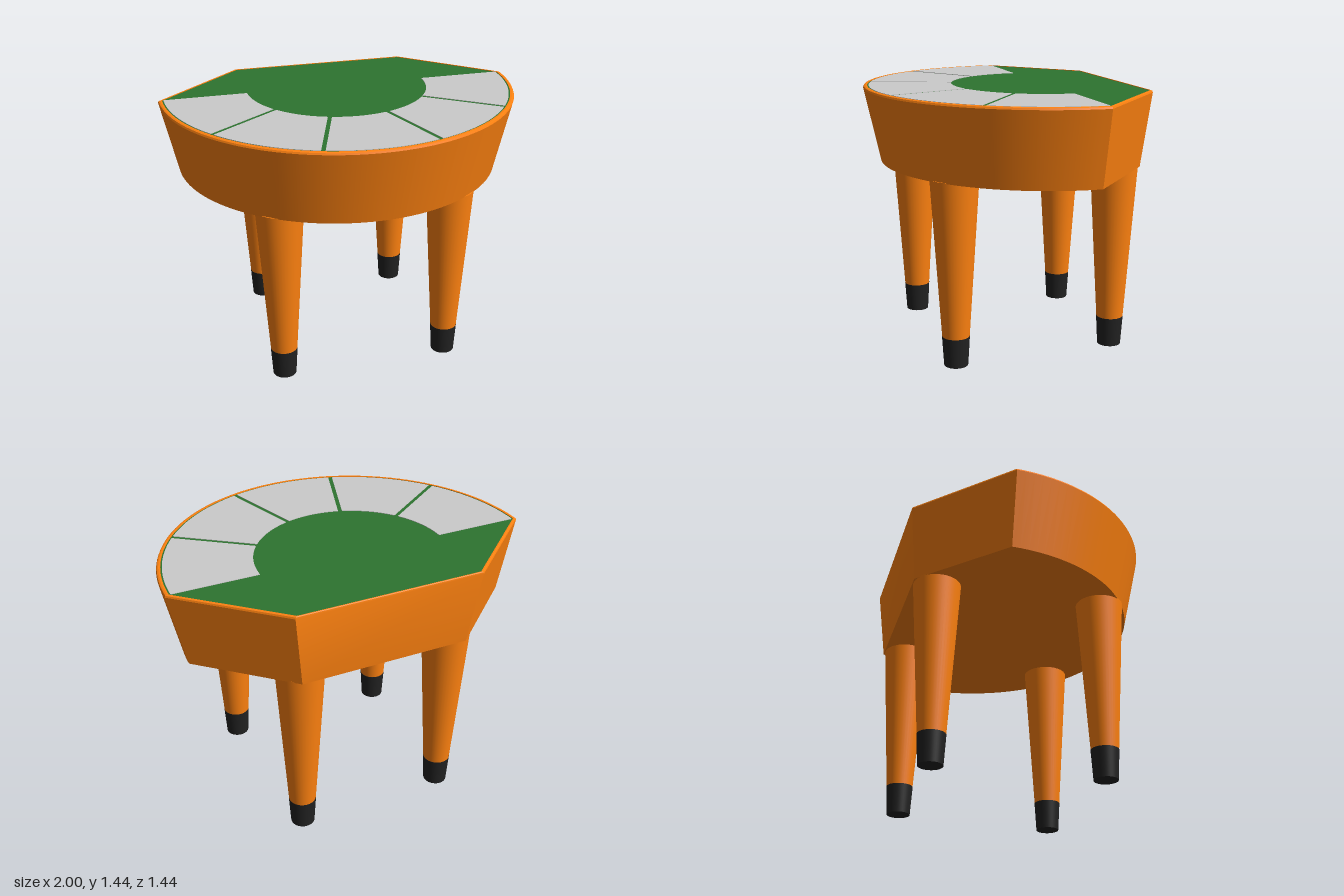
import * as THREE from 'three';
import { toCreasedNormals } from 'three/addons/utils/BufferGeometryUtils.js';

const material = (color) => new THREE.MeshStandardMaterial({ color });
const ORANGE = material(0xff8210);
const GREEN = material(0x2e7430);
const GREY = material(0xcccccc);
const BLACK = material(0x222222);

function addMesh(parent, name, geometry, mat) {
  const mesh = new THREE.Mesh(geometry, mat);
  mesh.name = name;
  parent.add(mesh);
  return mesh;
}

// Table outline: half circle at the front, clipped trapezoid at the back
function outline(scale = 1, steps = 64) {
  const points = [[0.51, 0.445], [-0.51, 0.445]];
  for (let i = 0; i <= steps; i++) {
    const a = Math.PI * (1 + i / steps);
    points.push([Math.cos(a), Math.sin(a)]);
  }
  return points.map(([x, y]) => new THREE.Vector2(x * scale, y * scale));
}

// Solid made from scaled copies of the outline at given heights
function loftOutline(layers) {
  const rings = layers.map(([h, s]) => outline(s).map((p) => [p.x, p.y, h]));
  const n = rings[0].length;
  const positions = [];
  for (let k = 0; k < rings.length - 1; k++) {
    const low = rings[k], high = rings[k + 1];
    for (let i = 0; i < n; i++) {
      const j = (i + 1) % n;
      if (layers[k][1] > 0) positions.push(...low[i], ...low[j], ...high[j]);
      if (layers[k + 1][1] > 0) positions.push(...low[i], ...high[j], ...high[i]);
    }
  }
  const geometry = new THREE.BufferGeometry();
  geometry.setAttribute('position', new THREE.Float32BufferAttribute(positions, 3));
  return toCreasedNormals(geometry, 0.3);
}

function slab(shape, bottom, top) {
  const geometry = new THREE.ExtrudeGeometry(shape, {
    depth: top - bottom, bevelEnabled: false, curveSegments: 24,
  });
  return geometry.translate(0, 0, bottom);
}

// Ring sector with straight sides set back by a constant gap
function sector(start, end, inner, outer, gapStart, gapEnd) {
  const a = (r) => start + Math.asin(gapStart / r);
  const b = (r) => end - Math.asin(gapEnd / r);
  const shape = new THREE.Shape();
  shape.absarc(0, 0, outer, a(outer), b(outer), false);
  shape.absarc(0, 0, inner, b(inner), a(inner), true);
  shape.closePath();
  return shape;
}

export function createModel() {
  const model = new THREE.Group();
  model.name = 'table';

  // Table top, drawn flat with local z as height
  const tableTop = new THREE.Group();
  tableTop.name = 'tableTop';
  tableTop.rotation.x = -Math.PI / 2;
  tableTop.position.z = -0.28;
  model.add(tableTop);

  addMesh(tableTop, 'apron', loftOutline([
    [1.02, 0], [1.02, 0.912], [1.428, 1], [1.437, 0.996], [1.44, 0.988], [1.44, 0.978], [1.43, 0.978], [1.43, 0],
  ]), ORANGE);
  addMesh(tableTop, 'playingSurface', slab(new THREE.Shape(outline(0.978)), 1.431, 1.437), GREEN);

  // Five grey panels fanned around the front
  const count = 5, step = Math.PI / count, gap = 0.011;
  for (let i = 0; i < count; i++) {
    const start = Math.PI + i * step;
    const shape = sector(start, start + step, 0.51, 0.97, i === 0 ? 0 : gap, i === count - 1 ? 0 : gap);
    addMesh(tableTop, 'panel' + (i + 1), slab(shape, 1.432, 1.44), GREY);
  }

  // Tapered legs with dark feet
  for (const [place, x, z] of [['front', 0.47, 0.357], ['back', 0.422, -0.553]]) {
    for (const side of [1, -1]) {
      const leg = new THREE.Group();
      leg.name = place + (side > 0 ? 'Left' : 'Right') + 'Leg';
      leg.position.set(side * x, 0, z);
      addMesh(leg, 'post', new THREE.CylinderGeometry(0.129, 0.074, 0.86, 40), ORANGE).position.y = 0.595;
      addMesh(leg, 'foot', new THREE.CylinderGeometry(0.075, 0.065, 0.165, 40), BLACK).position.y = 0.0825;
      model.add(leg);
    }
  }
  return model;
}
